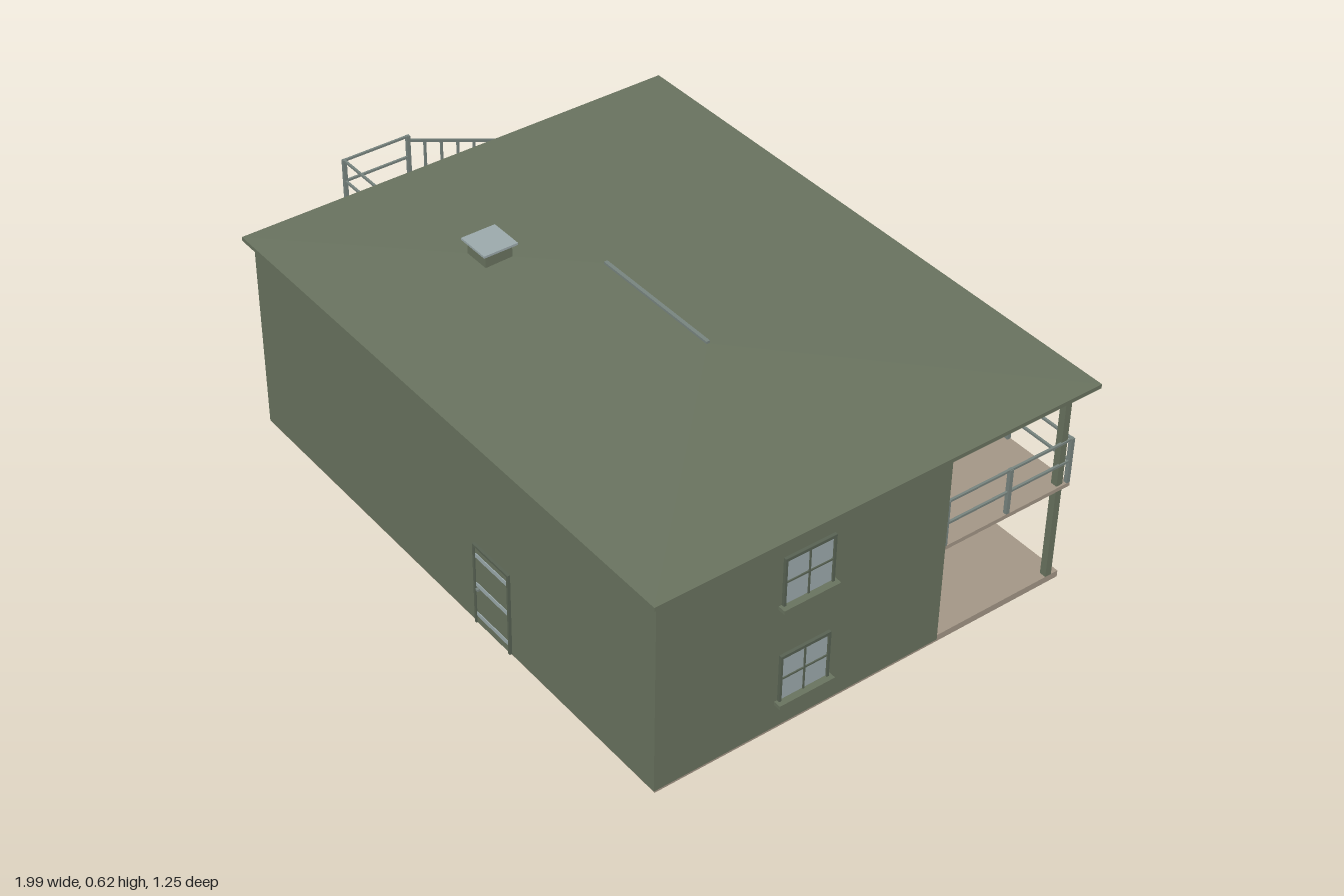
import * as THREE from 'three';

export function createModel() {
  const house = new THREE.Group();
  house.name = 'house';
  const mat = (name, color, opts = {}) => {
    const m = new THREE.MeshStandardMaterial({ color, ...opts });
    m.name = name;
    return m;
  };
  const green = mat('green paint', 0x69735f);
  const trim = mat('dark green trim', 0x586253);
  const stone = mat('beige concrete', 0xa39686);
  const glass = mat('window glass', 0x9caaac);
  const steel = mat('grey steel', 0x78847f);

  const group = (name, parent = house) => {
    const g = new THREE.Group();
    g.name = name;
    parent.add(g);
    return g;
  };
  // Box given by its limits on each axis
  const box = (parent, name, m, x0, x1, y0, y1, z0, z1) => {
    const mesh = new THREE.Mesh(new THREE.BoxGeometry(x1 - x0, y1 - y0, z1 - z0), m);
    mesh.position.set((x0 + x1) / 2, (y0 + y1) / 2, (z0 + z1) / 2);
    mesh.name = name;
    parent.add(mesh);
    return mesh;
  };
  // Square bar between two points
  const bar = (parent, name, m, a, b, t = 0.007) => {
    const p = new THREE.Vector3(...a), q = new THREE.Vector3(...b);
    const mesh = new THREE.Mesh(new THREE.BoxGeometry(t, t, p.distanceTo(q)), m);
    mesh.position.copy(p).add(q).multiplyScalar(0.5);
    mesh.lookAt(q);
    mesh.name = name;
    parent.add(mesh);
  };

  // Ground slab, L-shaped
  const slab = group('groundSlab');
  box(slab, 'mainSlab', stone, -0.62, 0.96, 0, 0.018, -0.59, 0.59);
  box(slab, 'stairSlab', stone, -1, -0.62, 0, 0.018, -0.59, 0.13);

  // House body
  box(house, 'walls', green, -0.62, 0.97, 0.018, 0.553, -0.205, 0.6);

  // Roof: two stepped eaves and a shallow hip
  const roof = group('roof');
  box(roof, 'lowerEave', trim, -0.63, 0.98, 0.55, 0.56, -0.617, 0.612);
  box(roof, 'upperEave', green, -0.64, 0.99, 0.559, 0.57, -0.625, 0.62);
  const hip = new THREE.BufferGeometry();
  const A = [-0.64, 0.57, 0.62], B = [0.99, 0.57, 0.62], C = [0.99, 0.57, -0.625], D = [-0.64, 0.57, -0.625];
  const E = [-0.02, 0.587, 0], F = [0.37, 0.587, 0];
  const faces = [A, B, F, A, F, E, B, C, F, C, D, E, C, E, F, D, A, E];
  hip.setAttribute('position', new THREE.Float32BufferAttribute(faces.flat(), 3));
  hip.computeVertexNormals();
  const hipMesh = new THREE.Mesh(hip, green);
  hipMesh.name = 'hipRoof';
  roof.add(hipMesh);
  box(roof, 'ridgeCap', steel, -0.02, 0.37, 0.583, 0.593, -0.005, 0.005);
  box(roof, 'ventBase', green, -0.253, -0.177, 0.575, 0.618, 0.157, 0.233);
  box(roof, 'ventCap', glass, -0.263, -0.167, 0.617, 0.623, 0.147, 0.243);

  // Places an outward-facing opening on a wall; local +z points outwards
  const place = (name, x, y, z, turn) => {
    const g = group(name);
    g.position.set(x, y, z);
    g.rotation.y = turn;
    return g;
  };
  const addWindow = (x, y, z, turn) => {
    const g = place('window', x, y, z, turn);
    box(g, 'pane', glass, -0.065, 0.065, 0.005, 0.13, 0, 0.003);
    for (const s of [-1, 1])
      box(g, 'frameSide', trim, s * 0.067 - 0.003, s * 0.067 + 0.003, 0, 0.135, 0, 0.008);
    box(g, 'frameTop', trim, -0.07, 0.07, 0.128, 0.136, 0, 0.008);
    box(g, 'mullion', trim, -0.002, 0.002, 0, 0.13, 0, 0.006);
    box(g, 'crossbar', trim, -0.065, 0.065, 0.065, 0.069, 0, 0.006);
    box(g, 'sill', green, -0.078, 0.078, -0.006, 0.004, 0, 0.02);
  };
  const addDoor = (x, y, z, turn) => {
    const g = place('door', x, y, z, turn);
    box(g, 'doorLeaf', green, -0.068, 0.068, 0, 0.23, 0, 0.003);
    for (const s of [-1, 1])
      box(g, 'jamb', trim, s * 0.067 - 0.003, s * 0.067 + 0.003, 0, 0.235, 0, 0.007);
    box(g, 'lintel', trim, -0.07, 0.07, 0.23, 0.236, 0, 0.007);
    for (const h of [0.028, 0.118, 0.205])
      box(g, 'doorRail', glass, -0.062, 0.062, h - 0.006, h + 0.006, 0, 0.005);
    box(g, 'handle', steel, -0.055, -0.047, 0.108, 0.114, 0, 0.012);
  };
  for (const y of [0.092, 0.37]) {
    addWindow(0.97, y, 0.195, Math.PI / 2);
    addWindow(-0.62, y, 0.195, -Math.PI / 2);
    for (const x of [0.75, -0.35]) addWindow(x, y, -0.205, Math.PI);
  }
  addDoor(0.37, 0.02, 0.6, 0);
  addDoor(-0.62, 0.288, 0.03, -Math.PI / 2);
  for (const y of [0.02, 0.29]) addDoor(0.2, y, -0.205, Math.PI);

  // Rear balcony and its columns
  const balcony = group('balcony');
  box(balcony, 'balconyFloor', stone, -0.62, 0.965, 0.28, 0.291, -0.588, -0.205);
  for (let i = 0; i < 5; i++) {
    const x = -0.605 + i * 0.389;
    box(balcony, 'column', green, x - 0.009, x + 0.009, 0.018, 0.552, -0.569, -0.551);
  }

  // Level railing with posts and two rails
  const railing = (parent, a, b, y, posts) => {
    const g = group('railing', parent);
    for (const h of [0.065, 0.128])
      bar(g, 'rail', steel, [a[0], y + h, a[1]], [b[0], y + h, b[1]], 0.006);
    for (let i = 0; i <= posts; i++) {
      const t = i / posts;
      const x = a[0] + (b[0] - a[0]) * t, z = a[1] + (b[1] - a[1]) * t;
      box(g, 'post', steel, x - 0.005, x + 0.005, y, y + 0.13, z - 0.005, z + 0.005);
    }
  };
  railing(balcony, [-0.615, -0.583], [0.96, -0.583], 0.288, 8);
  for (const x of [-0.615, 0.96]) railing(balcony, [x, -0.583], [x, -0.21], 0.288, 2);

  // Outside stair: two flights, middle and upper landings
  const stair = group('outsideStair');
  box(stair, 'middleLanding', green, -0.995, -0.62, 0.143, 0.153, -0.588, -0.43);
  box(stair, 'upperLandingSlab', stone, -0.995, -0.62, 0.277, 0.285, -0.07, 0.13);
  box(stair, 'upperLandingTop', green, -0.995, -0.62, 0.285, 0.289, -0.07, 0.13);
  railing(stair, [-0.99, 0.125], [-0.625, 0.125], 0.285, 2);
  railing(stair, [-0.99, 0.125], [-0.99, -0.07], 0.285, 1);
  railing(stair, [-0.83, -0.067], [-0.625, -0.067], 0.285, 1);

  const flight = (name, x0, x1, yNear, yFar, railXs) => {
    const g = group(name, stair);
    const zNear = -0.07, zFar = -0.43, n = 9;
    const yAt = (z) => yNear + (yFar - yNear) * (zNear - z) / (zNear - zFar);
    for (let i = 0; i < n; i++) {
      const z = zNear + (zFar - zNear) * (i + 0.5) / n;
      box(g, 'tread', green, x0, x1, yAt(z) - 0.004, yAt(z) + 0.003, z - 0.021, z + 0.021);
    }
    for (const x of [x0 + 0.005, x1 - 0.005])
      bar(g, 'stringer', trim, [x, yNear - 0.008, zNear], [x, yFar - 0.008, zFar], 0.008);
    for (const x of railXs) {
      bar(g, 'handrail', steel, [x, yNear + 0.115, zNear], [x, yFar + 0.115, zFar], 0.007);
      for (let i = 0; i <= 7; i++) {
        const z = zNear + (zFar - zNear) * i / 7;
        box(g, 'baluster', steel, x - 0.003, x + 0.003, yAt(z), yAt(z) + 0.115, z - 0.003, z + 0.003);
      }
    }
  };
  flight('lowerFlight', -0.77, -0.62, 0.02, 0.15, [-0.767]);
  flight('upperFlight', -0.995, -0.83, 0.285, 0.15, [-0.99, -0.833]);

  return house;
}
